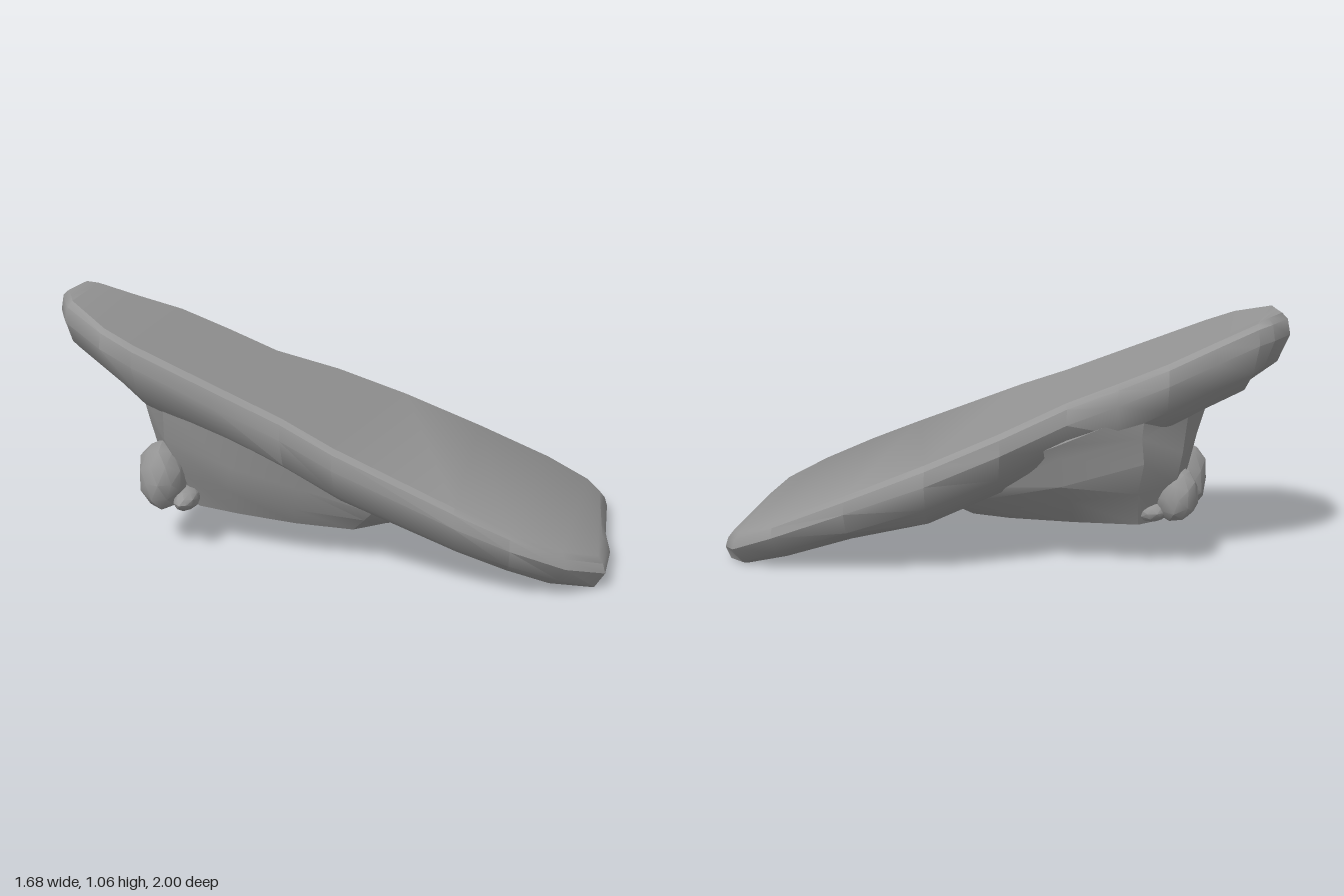
import * as THREE from 'three';
import { toCreasedNormals } from 'three/addons/utils/BufferGeometryUtils.js';

const stone = new THREE.MeshStandardMaterial({ color: 0x979797 });
stone.name = 'grey stone';

// Height of the sloping top face, levelling off at the tip
const slope = (x, z) => Math.min(1.065, 0.56 - 0.28 * x - 0.35 * z);

function seeded(seed) {
  let s = seed;
  return (amount) => {
    s = (s * 16807) % 2147483647;
    return (s / 2147483647 - 0.5) * 2 * amount;
  };
}

// Skin a stack of rings (top to bottom); both ends are closed by strips
// running across from one long side to the other
function loft(rings, crease) {
  const n = rings[0].length;
  const index = [];
  for (let k = 0; k < rings.length - 1; k++) {
    for (let i = 0; i < n; i++) {
      const j = (i + 1) % n;
      const a = k * n + i, b = k * n + j;
      index.push(a, b, a + n, b, b + n, a + n);
    }
  }
  const last = (rings.length - 1) * n;
  for (let i = 0; i < n / 2 - 1; i++) {
    const a = i, b = i + 1, c = n - 2 - i, d = n - 1 - i;
    index.push(a, c, b, a, d, c);
    index.push(last + a, last + b, last + c, last + a, last + c, last + d);
  }
  const geo = new THREE.BufferGeometry().setFromPoints(rings.flat());
  geo.setIndex(index);
  return toCreasedNormals(geo, crease);
}

function add(group, name, geo) {
  const mesh = new THREE.Mesh(geo, stone);
  mesh.name = name;
  group.add(mesh);
  return mesh;
}

// Tilted slab: plan outline, stepped inwards as it goes down, thinner towards
// the low end and flat where it meets the ground
function slabGeometry() {
  const plan = [
    [-0.6, -1], [-0.53, -0.985], [-0.4, -0.89], [-0.25, -0.79], [-0.13, -0.64], [-0.02, -0.48],
    [0.2, -0.34], [0.41, -0.14], [0.61, 0.11], [0.78, 0.36], [0.84, 0.54], [0.8, 0.65],
    [0.56, 0.8], [0.44, 0.9], [0.25, 1], [0.06, 0.94], [-0.1, 0.79], [-0.22, 0.61],
    [-0.45, 0.2], [-0.52, 0], [-0.65, -0.23], [-0.8, -0.5], [-0.84, -0.63], [-0.82, -0.84],
    [-0.78, -0.9], [-0.73, -0.97],
  ];
  const n = plan.length;
  const rnd = seeded(7);
  const layers = [
    [0, 0.035, 0], [0.02, 0.012, 0], [0.075, 0, 0], [0.18, 0.045, 0.012], [0.25, 0.14, 0.012],
  ];
  return loft(layers.map(([depth, inset, rough]) => plan.map(([x, z], i) => {
    const [px, pz] = plan[(i + n - 1) % n], [qx, qz] = plan[(i + 1) % n];
    const len = Math.hypot(qx - px, qz - pz);
    const top = slope(x, z);
    const drop = depth * (0.72 + 0.38 * THREE.MathUtils.smoothstep(top, 0.2, 0.55));
    const y = Math.max(0.005, top - drop + rnd(rough));
    const used = drop ? Math.min(1, (top - y) / drop) : 1;
    const d = inset * used * used + rnd(rough);
    const nx = x - ((qz - pz) / len) * d, nz = z + ((qx - px) / len) * d;
    return new THREE.Vector3(nx, drop ? y : slope(nx, nz), nz);
  })), 0.65);
}

// Rough keel under the high half, tapering to a narrow foot
function supportGeometry() {
  const top = [
    [-0.43, -0.76], [-0.22, -0.7], [0, -0.45], [0.18, -0.2], [0.22, 0.02], [0.12, 0.22],
    [-0.06, 0.33], [-0.27, 0.27], [-0.44, 0.03], [-0.59, -0.24], [-0.68, -0.51], [-0.6, -0.7],
  ];
  const foot = [
    [-0.43, -0.59], [-0.34, -0.57], [-0.19, -0.36], [-0.05, -0.13], [0.01, 0.02], [-0.01, 0.12],
    [-0.1, 0.18], [-0.23, 0.12], [-0.35, -0.08], [-0.45, -0.3], [-0.51, -0.46], [-0.49, -0.56],
  ];
  const rnd = seeded(21);
  return loft([0, 0.2, 0.45, 0.72, 1].map((t) => top.map(([x, z], i) => {
    const [fx, fz] = foot[i];
    const rough = t > 0 && t < 1 ? 0.018 : 0;
    const m = t - Math.sin(t * Math.PI) * 0.15;
    const y = THREE.MathUtils.lerp(slope(x, z) - 0.15, 0.175 - 0.04 * fz, t);
    return new THREE.Vector3(
      THREE.MathUtils.lerp(x, fx, m) + rnd(rough),
      y + rnd(rough),
      THREE.MathUtils.lerp(z, fz, m) + rnd(rough),
    );
  })), 0.5);
}

// Faceted boulder with slightly uneven vertices
function boulderGeometry(rx, ry, rz, turn) {
  const geo = new THREE.IcosahedronGeometry(1, 1);
  const p = geo.attributes.position;
  const v = new THREE.Vector3();
  for (let i = 0; i < p.count; i++) {
    v.fromBufferAttribute(p, i);
    v.multiplyScalar(1 + 0.06 * Math.sin(v.x * 5 + turn * 3) * Math.cos(v.y * 4 + v.z * 3));
    p.setXYZ(i, v.x * rx, v.y * ry, v.z * rz);
  }
  geo.rotateY(turn);
  return toCreasedNormals(geo, 0.6);
}

export function createModel() {
  const group = new THREE.Group();
  group.name = 'rockRamp';
  add(group, 'slab', slabGeometry());
  add(group, 'support', supportGeometry());

  // Loose stones at the foot of the high end
  const stones = [
    ['largeBoulder', [-0.61, 0.34, -0.56], [0.11, 0.145, 0.1], 0.6],
    ['smallBoulder', [-0.475, 0.315, -0.64], [0.09, 0.115, 0.095], 0.3],
    ['frontPebble', [-0.57, 0.25, -0.47], [0.08, 0.045, 0.05], 0.4],
    ['backPebble', [-0.4, 0.25, -0.59], [0.05, 0.045, 0.07], 1.1],
  ];
  for (const [name, at, size, turn] of stones) {
    add(group, name, boulderGeometry(...size, turn)).position.set(...at);
  }
  return group;
}
